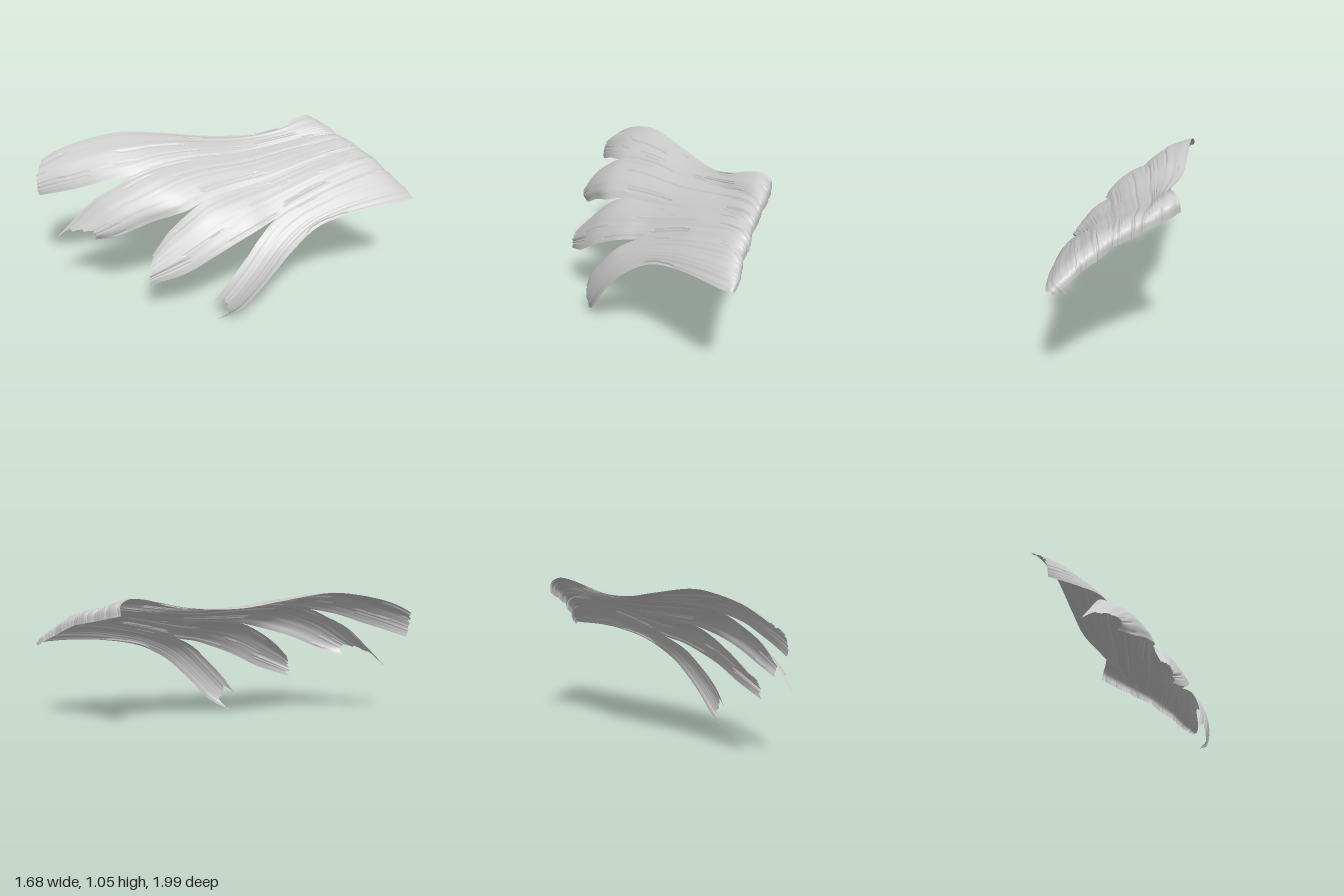
import * as THREE from 'three';

const material = new THREE.MeshStandardMaterial({ color: 0xcccccc, side: THREE.DoubleSide });

// Seams of the joined sheet, each running from the curled root towards a fork
const seams = [
  [[.82, .96, .15], [.815, 1.02, .16], [.76, 1.052, .15], [.68, 1.045, .12], [.55, 1.005, .06], [.4, .965, -.07], [.2, .962, -.28], [0, 1.0, -.45], [-.25, 1.038, -.65]],
  [[.82, .89, .39], [.815, .945, .385], [.76, .97, .35], [.5, .93, .15], [.2, .905, -.02], [-.1, .915, -.2], [-.3, .895, -.31], [-.42, .865, -.37]],
  [[.82, .835, .59], [.815, .885, .585], [.76, .915, .56], [.5, .875, .41], [.2, .805, .26], [0, .77, .15], [-.2, .74, .06]],
  [[.82, .735, .79], [.815, .785, .785], [.76, .822, .76], [.5, .782, .64], [.3, .718, .54], [.05, .62, .43]],
  [[.83, .635, .97], [.825, .65, .995], [.78, .648, .99], [.6, .645, .89], [.4, .62, .76], [.2, .56, .645], [0, .43, .58]],
];

// Free edges of each lock past the forks, with its arch and the shape of its ragged tip
const locks = [
  { name: 'backLock', arch: .045, notch: -.01, jag: .018, seed: 3,
    upper: [[-.4, 1.015, -.77], [-.55, .965, -.89], [-.63, .92, -.955], [-.69, .88, -.99]],
    lower: [[-.55, .825, -.51], [-.65, .77, -.65], [-.72, .73, -.77], [-.79, .685, -.91]] },
  { name: 'upperMiddleLock', arch: .055, notch: .045, jag: .03, seed: 11,
    upper: [[-.53, .8, -.44], [-.65, .71, -.54], [-.75, .575, -.635], [-.84, .44, -.725]],
    lower: [[-.35, .69, 0], [-.5, .625, -.15], [-.65, .53, -.31], [-.74, .485, -.46]] },
  { name: 'lowerMiddleLock', arch: .035, notch: 0, jag: .018, seed: 23,
    upper: [[-.3, .69, .02], [-.45, .57, -.05], [-.58, .435, -.085]],
    lower: [[-.1, .575, .385], [-.2, .53, .335], [-.35, .45, .25], [-.5, .345, .13], [-.66, .262, -.05]] },
  { name: 'frontLock', arch: .02, notch: .045, jag: .025, seed: 37,
    upper: [[-.1, .53, .41], [-.2, .43, .39], [-.33, .27, .335], [-.4, .135, .275]],
    lower: [[-.1, .325, .54], [-.2, .2, .485], [-.3, .06, .395], [-.375, .0, .295]] },
];

const curve = pts => new THREE.CatmullRomCurve3(pts.map(p => new THREE.Vector3(...p)), false, 'centripetal');

// Smooth seeded one-dimensional noise in 0..1
const hash = n => { const s = Math.sin(n * 127.1) * 43758.5453; return s - Math.floor(s); };
function noise(x, seed) {
  const i = Math.floor(x), f = x - i, k = f * f * (3 - 2 * f);
  return hash(i + seed * 57) * (1 - k) + hash(i + 1 + seed * 57) * k;
}

// Height of the fine hair grooves, drifting slowly along the length, with a few short cuts
function grooves(u, v, seed) {
  const broad = noise(u * 7 + v * 1.5, seed), fine = noise(u * 20 - v * 2, seed + 1);
  const cut = noise(u * 30 + v, seed + 2) * noise(v * 9 + Math.floor(u * 8) * 3.7, seed + 3);
  return .007 * (broad - .5) + .003 * (fine - .5) - (cut > .58 ? .007 : 0);
}

// One lock: an arched sheet stretched between two edge curves
function makeLock({ name, arch, notch, jag, seed, upper, lower }, index) {
  const STEPS = 400, nu = 48, nv = 130;
  const a = curve([...seams[index], ...upper]).getSpacedPoints(STEPS);
  const b = curve([...seams[index + 1], ...lower]).getSpacedPoints(STEPS);
  const sample = (pts, t) => {
    const s = THREE.MathUtils.clamp(t, 0, 1) * STEPS, i = Math.min(Math.floor(s), STEPS - 1);
    return pts[i].clone().lerp(pts[i + 1], s - i);
  };
  const base = (u, v) => sample(a, v).lerp(sample(b, v), u);
  const positions = [], indices = [];
  for (let j = 0; j <= nv; j++) {
    for (let i = 0; i <= nu; i++) {
      const u = i / nu, bow = 4 * u * (1 - u);
      // Ragged tip: the middle is notched or rounded and each strand ends at its own length
      const end = 1 - notch * Math.min(1, bow * 1.3) - jag * noise(u * 15, seed + 9) * Math.min(1, bow * 3);
      const v = (j / nv) * end;
      const along = base(u, Math.min(1, v + .02)).sub(base(u, Math.max(0, Math.min(1, v) - .02)));
      const normal = along.clone().cross(sample(b, v).sub(sample(a, v))).normalize();
      const rise = bow * THREE.MathUtils.lerp(.012, arch, THREE.MathUtils.smoothstep(v, .35, .9));
      const p = base(u, v).addScaledVector(along.normalize(), Math.max(0, v - 1))
        .addScaledVector(normal, rise + Math.min(1, bow * 4) * grooves(u, v, seed));
      positions.push(p.x, p.y, p.z);
      if (i < nu && j < nv) {
        const k = j * (nu + 1) + i, m = k + nu + 1;
        indices.push(k, m, k + 1, m, m + 1, k + 1);
      }
    }
  }
  const geometry = new THREE.BufferGeometry();
  geometry.setAttribute('position', new THREE.Float32BufferAttribute(positions, 3));
  geometry.setIndex(indices);
  geometry.computeVertexNormals();
  const mesh = new THREE.Mesh(geometry, material);
  mesh.name = name;
  return mesh;
}

export function createModel() {
  const group = new THREE.Group();
  group.name = 'hairLocks';
  group.add(...locks.map(makeLock));
  return group;
}
